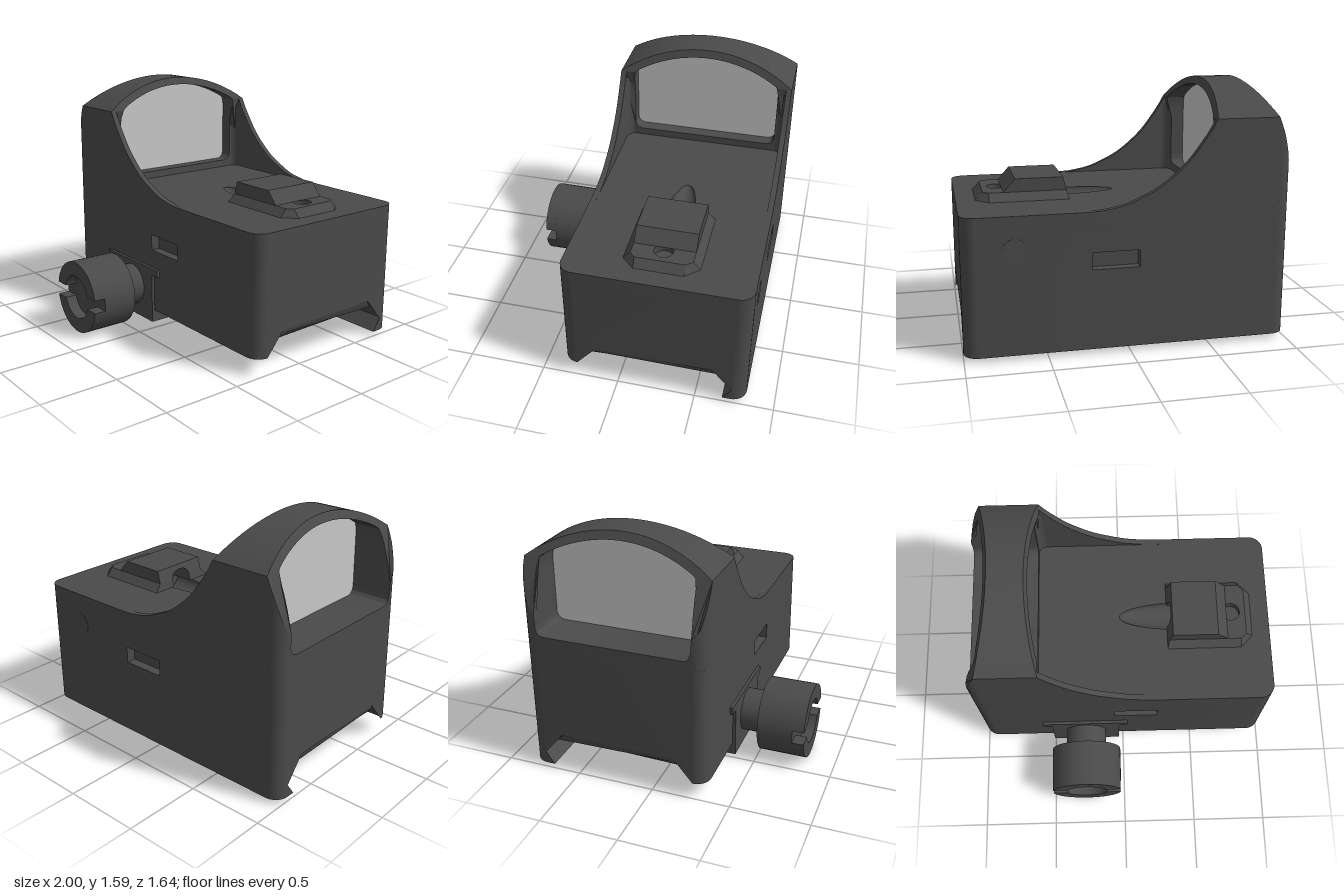
import * as THREE from 'three';
import { toCreasedNormals } from 'three/addons/utils/BufferGeometryUtils.js';

const ZC = -0.2325, HW = 0.5875, R = 0.09; // body centre line, half width, corner radius
const black = new THREE.MeshStandardMaterial({ color: 0x4a4a4a });
black.name = 'matte black';
const grey = new THREE.MeshStandardMaterial({ color: 0xc8c8c8 });
grey.name = 'lens grey';

// piecewise linear lookup of [y, x] pairs
function lookup(table, y) {
  if (y <= table[0][0]) return table[0][1];
  for (let i = 1; i < table.length; i++) {
    const [y0, x0] = table[i - 1], [y1, x1] = table[i];
    if (y <= y1) return x0 + (x1 - x0) * (y - y0) / (y1 - y0);
  }
  return table[table.length - 1][1];
}
const WING = [[0.88, 0.25], [0.885, 0.17], [0.91, 0.04], [0.95, -0.06], [1, -0.16], [1.07, -0.255],
  [1.16, -0.35], [1.25, -0.42], [1.33, -0.475], [1.4, -0.515]];
const FRONT = [[0.88, -0.555], [1.25, -0.555], [1.4, -0.515], [1.59, -0.585]];
const BACK = [[0.88, -1], [1.07, -1], [1.2, -0.97], [1.3, -0.94], [1.4, -0.9], [1.5, -0.855], [1.59, -0.81]];

// counter-clockwise shape from a list of points
function shapeOf(pts) {
  const v = pts.map(([a, b]) => new THREE.Vector2(a, b));
  return new THREE.Shape(THREE.ShapeUtils.isClockWise(v) ? v.reverse() : v);
}

// extrude a (z, y) section along x; xAt(step, y) places every station
function alongX(pts, steps, xAt, rounded = true) {
  const s = shapeOf(pts.map(([z, y]) => [-z, y]));
  const g = new THREE.ExtrudeGeometry(s, { depth: steps, steps, bevelEnabled: false });
  g.rotateY(Math.PI / 2);
  const p = g.attributes.position;
  for (let i = 0; i < p.count; i++) {
    const x = xAt(Math.round(p.getX(i)), p.getY(i));
    p.setX(i, x);
    const q = R - (1 - Math.abs(x));
    if (rounded && q > 0) { // round the vertical corners
      const lim = HW - R + Math.sqrt(Math.max(0, R * R - q * q));
      p.setZ(i, ZC + THREE.MathUtils.clamp(p.getZ(i) - ZC, -lim, lim));
    }
  }
  return toCreasedNormals(g, 0.5);
}

// extrude an (x, y) shape along z
function alongZ(shape, z0, z1) {
  const g = new THREE.ExtrudeGeometry(shape, { depth: z1 - z0, bevelEnabled: false, curveSegments: 24 });
  return toCreasedNormals(g.translate(0, 0, z0), 0.5);
}

// extrude an (x, -z) plan upward
function alongY(shape, y0, y1) {
  const g = new THREE.ExtrudeGeometry(shape, { depth: y1 - y0, bevelEnabled: false, curveSegments: 12 });
  return g.rotateX(-Math.PI / 2).translate(0, y0, 0);
}

export function createModel() {
  const root = new THREE.Group();
  root.name = 'reflexSight';
  const add = (name, geo, mat = black) => {
    const m = new THREE.Mesh(geo, mat);
    m.name = name;
    root.add(m);
  };
  const rodZ = (name, r, z0, z1, x, y) =>
    add(name, new THREE.CylinderGeometry(r, r, z1 - z0, 40).rotateX(Math.PI / 2).translate(x, y, (z0 + z1) / 2));

  // body with rail channel: fixed hook on the right, open on the left; the middle slice carries the side slots
  const N = 8, off = Array.from({ length: N + 1 }, (_, i) => R * (1 - Math.cos(i / N * Math.PI / 2)));
  const zl = ZC + HW, zr = ZC - HW, top = 0.78;
  const section = (slot) => {
    const side = [[0, top], [0, 0.635], [0.06, 0.635], [0.06, 0.53], [0, 0.53]];
    const notch = slot ? side : [side[0]];
    return [[zl, 0.11], [0.285, 0.11], [0.14, 0.26], [-0.605, 0.26], [-0.75, 0.11], [-0.675, 0.03],
      [zr, 0.03], ...notch.map(([d, y]) => [zr + d, y]).reverse(), ...notch.map(([d, y]) => [zl - d, y])];
  };
  add('bodyRear', alongX(section(false), N + 1, (i) => (i > N ? -0.055 : -1 + off[i])));
  add('bodyMiddle', alongX(section(true), 1, (i) => (i ? 0.235 : -0.055)));
  add('bodyFront', alongX(section(false), N + 1, (i) => (i ? 1 - off[N + 1 - i] : 0.235)));

  // deck with a hollow trough in front of the emitter
  const deck = new THREE.Shape();
  const b = -zl, t = -zr;
  deck.moveTo(-1 + R, b).lineTo(1 - R, b).absarc(1 - R, b + R, R, -Math.PI / 2, 0)
    .lineTo(1, t - R).absarc(1 - R, t - R, R, 0, Math.PI / 2)
    .lineTo(-1 + R, t).absarc(-1 + R, t - R, R, Math.PI / 2, Math.PI)
    .lineTo(-1, b + R).absarc(-1 + R, b + R, R, Math.PI, Math.PI * 1.5);
  deck.holes.push(new THREE.Path().absellipse(0.45, 0.2375, 0.46, 0.1, Math.PI / 2, Math.PI * 1.5));
  add('deck', toCreasedNormals(alongY(deck, top, 0.88), 0.5));
  const bowl = Array.from({ length: 11 }, (_, i) => {
    const a = i / 10 * Math.PI / 2;
    return new THREE.Vector2(Math.cos(a), -Math.sin(a));
  });
  add('trough', new THREE.LatheGeometry(bowl, 24, Math.PI, Math.PI)
    .scale(0.46, 0.08, 0.1).translate(0.45, 0.88, -0.2375));

  // channel ceiling with rounded ends, split by the bolt slot
  const steps = Array.from({ length: 9 }, (_, i) => 0.18 + 0.082 * (1 - Math.cos(i / 8 * Math.PI / 2)));
  const ceiling = [...steps.map((y) => [0.395 - y, y]), ...steps.map((y) => [-0.86 + y, y]).reverse()];
  const endX = (y) => 0.915 + 0.082 * Math.sqrt(Math.max(0, 1 - ((0.262 - y) / 0.082) ** 2));
  add('railCeilingRear', alongX(ceiling, 1, (i, y) => (i ? -0.35 : -endX(y)), false));
  add('railCeilingFront', alongX(ceiling, 1, (i, y) => (i ? endX(y) : -0.18), false));

  // hood: a U-shaped frame below and an arch above, following the curved side profile
  const arc = (r, w, peak) => Array.from({ length: 25 }, (_, i) => {
    const z = w * (1 - i / 12);
    return [ZC + z, peak - r + Math.sqrt(r * r - z * z)];
  });
  const mirror = (pts) => pts.map(([z, y]) => [2 * ZC - z, y]).reverse();
  const levels = [0.88, 0.93, 1, 1.07, 1.13, 1.2, 1.25, 1.3, 1.35, 1.4];
  const wall = levels.map((y) => [zl, y]);
  const w = ZC + 0.4975;
  const jamb = [[w - 0.05, 0.93], [w - 0.025, 0.937], [w - 0.007, 0.955], [w, 0.98],
    ...levels.slice(2, -1).map((y) => [w, y]), [w - 0.01, 1.4]];
  const lintel = arc(0.95, 0.475, 1.54);
  const hoodX = (i, y) => (i > N ? lookup(FRONT, y) : lookup(BACK, y) + off[i]);
  add('hoodFrame', alongX([...wall, ...[...jamb].reverse(), ...mirror(jamb).reverse(), ...mirror(wall)], N + 1, hoodX));
  add('hoodArch', alongX([...arc(1.0033, HW, 1.59), [2 * ZC - w + 0.01, 1.4], ...[...lintel].reverse(),
    [w - 0.01, 1.4]], N + 1, hoodX));
  add('lens', alongX([...jamb, ...lintel, ...mirror(jamb)], 1, (i) => (i ? -0.64 : -0.73), false), grey);

  // side wings sweeping from the hood down to the deck, with a fillet in each inner corner
  const wing = new THREE.Shape();
  wing.moveTo(-0.57, 0.88);
  wing.splineThru(WING.map(([y, x]) => new THREE.Vector2(x, y)));
  wing.lineTo(-0.57, 1.4);
  add('leftWing', alongZ(wing, zl - 0.037, zl));
  add('rightWing', alongZ(wing, zr, zr + 0.037));
  for (const s of [-1, 1]) {
    const fillet = new THREE.Shape();
    fillet.moveTo(-0.56, -ZC + s * 0.553).lineTo(-0.49, -ZC + s * 0.553)
      .quadraticCurveTo(-0.545, -ZC + s * 0.545, -0.56, -ZC + s * 0.5);
    add('wingFillet', toCreasedNormals(alongY(fillet, 0.88, 1.35), 0.5));
  }

  // emitter housing: chamfered base with adjuster hole, block with an arched opening above
  const base = shapeOf([[0.31, 0], [0.8, 0], [0.88, 0.08], [0.88, 0.39], [0.8, 0.475], [0.31, 0.475],
    [0.31, 0.315], [0.6, 0.315], [0.6, 0.16], [0.31, 0.16]]);
  base.holes.push(new THREE.Path().absarc(0.74, 0.2375, 0.06, 0, Math.PI * 2));
  const baseGeo = alongY(base, 0.88, 0.93), bp = baseGeo.attributes.position;
  for (let i = 0; i < bp.count; i++) if (bp.getY(i) > 0.9) {
    bp.setX(i, THREE.MathUtils.clamp(bp.getX(i), 0.32, 0.835));
    bp.setZ(i, THREE.MathUtils.clamp(bp.getZ(i), -0.43, -0.045));
  }
  add('emitterBase', toCreasedNormals(baseGeo, 0.5));
  const arch = Array.from({ length: 13 }, (_, i) => {
    const a = i / 12 * Math.PI;
    return [-0.2375 - 0.0775 * Math.cos(a), 0.93 + 0.05 * Math.sin(a)];
  });
  const block = (gap) => [[-0.43, 0.93], ...gap, [-0.045, 0.93], [-0.045, 1.012], [-0.43, 1.012]];
  add('emitterRear', alongX(block(arch), 1, (i, y) => (i ? 0.6 : 0.32 + (y - 0.93) * 0.25), false));
  add('emitterFront', alongX(block([]), 1, (i, y) => (i ? 0.71 - (y - 0.93) * 0.87 : 0.6), false));

  // adjuster cap on the right side
  rodZ('sideAdjuster', 0.075, zr - 0.002, zr + 0.005, 0.69, 0.67);

  // clamp plate with jaw
  const KX = -0.265, KY = 0.241;
  add('clampPlate', alongZ(shapeOf([[-0.505, 0.03], [-0.03, 0.03], [-0.03, 0.36], [0.03, 0.36], [0.03, 0.41],
    [-0.565, 0.41], [-0.565, 0.36], [-0.505, 0.36]]), 0.34, 0.375));
  add('clampJaw', alongX([[0.37, 0.03], [0.205, 0.03], [0.28, 0.11], [0.205, 0.185], [0.205, 0.27], [0.37, 0.27]], 1,
    (i) => (i ? -0.03 : -0.505), false));

  // cross bolt and slotted knob
  rodZ('crossBolt', 0.06, -0.72, 0.3, KX, KY);
  rodZ('knobNeck', 0.14, 0.37, 0.52, KX, KY);
  rodZ('knob', 0.241, 0.515, 0.745, KX, KY);
  for (const side of [0, Math.PI]) {
    const ro = 0.241, ri = 0.145, ao = Math.asin(0.043 / ro), ai = Math.asin(0.043 / ri);
    const rim = new THREE.Shape();
    rim.absarc(KX, KY, ro, side + ao, side + Math.PI - ao, false);
    rim.absarc(KX, KY, ri, side + Math.PI - ai, side + ai, true);
    add('knobRim', alongZ(rim, 0.745, 0.82));
  }
  return root;
}
